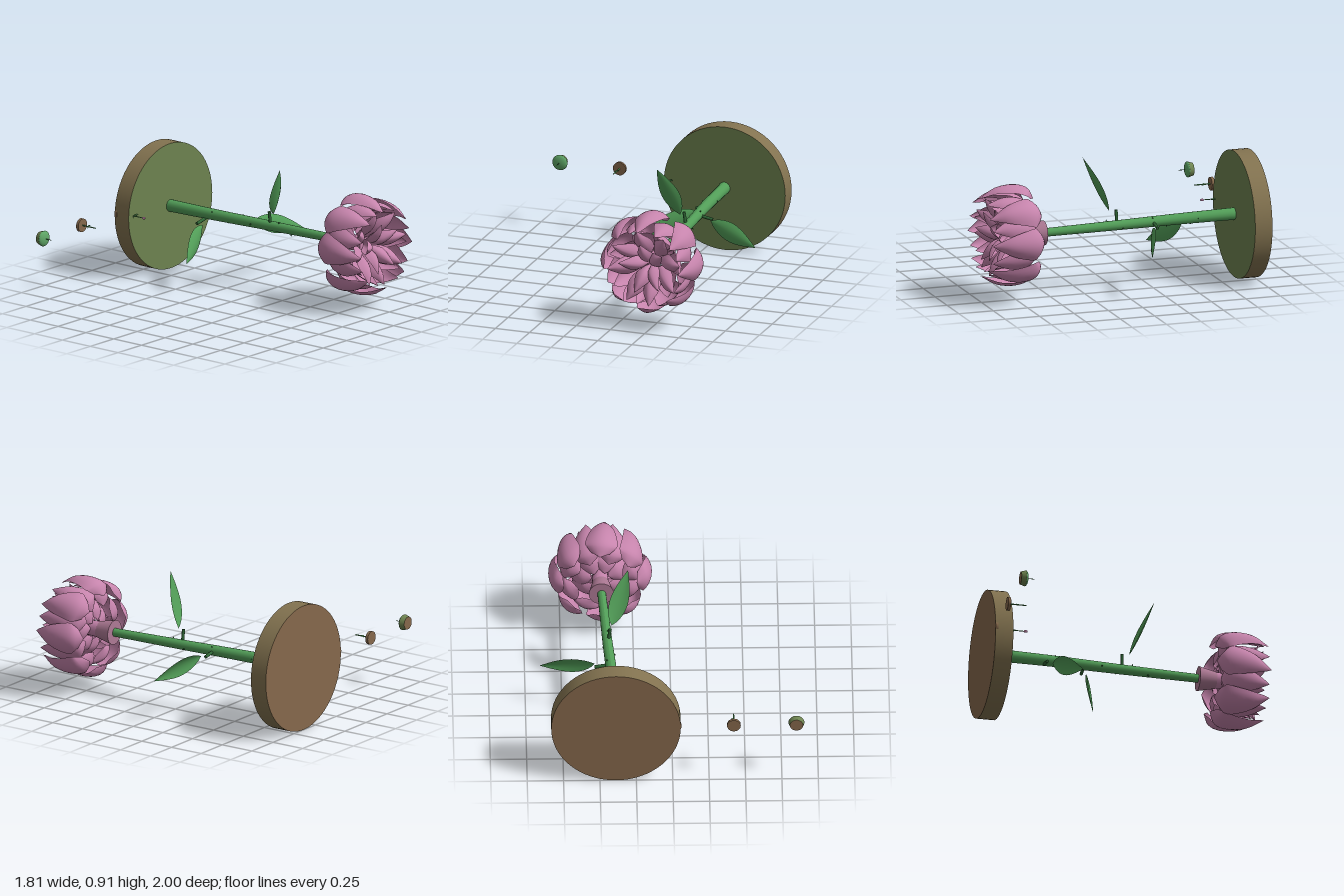
import * as THREE from 'three';

const mat = (color) => new THREE.MeshStandardMaterial({ color, side: THREE.DoubleSide });
const PINK = mat(0xc684ac), CALYX = mat(0xae7a95), GREEN = mat(0x529e58), DARK = mat(0x2f6636);
const BROWN = mat(0x86694c), OLIVE = mat(0x6e8350), RIM = mat(0x837350), MINT = mat(0x62aa69);
const V = (x, y, z) => new THREE.Vector3(x, y, z);

function add(parent, name, geo, material) {
  const m = new THREE.Mesh(geo, material);
  m.name = name;
  parent.add(m);
  return m;
}

// Cylinder or cone between two points
function rod(parent, name, a, b, ra, rb, material, sides = 12) {
  const m = add(parent, name, new THREE.CylinderGeometry(rb, ra, a.distanceTo(b), sides), material);
  m.position.copy(a).add(b).multiplyScalar(0.5);
  m.quaternion.setFromUnitVectors(V(0, 1, 0), b.clone().sub(a).normalize());
  return m;
}

// Cupped petal: spine of [radius, z] points, broad round base and pointed tip
function petalGeometry(spine, halfWidth, cup) {
  const curve = new THREE.CatmullRomCurve3(spine.map(([r, z]) => V(r, 0, z)));
  const geo = new THREE.PlaneGeometry(2, 1, 8, 16);
  const p = geo.attributes.position;
  for (let i = 0; i < p.count; i++) {
    const u = p.getX(i), v = p.getY(i) + 0.5;
    const w = 2.49 * Math.sqrt(Math.max(v, 0)) * Math.pow(Math.max(1 - v, 0), 0.9);
    const c = curve.getPoint(v), t = curve.getTangent(v);
    const d = cup * u * u * w;
    p.setXYZ(i, c.x - t.z * d, u * w * halfWidth, c.z + t.x * d);
  }
  geo.computeVertexNormals();
  return geo;
}

// Leaf blade from base to tip, cambered across its midrib
function leaf(parent, base, tip, halfWidth, facing) {
  const dir = tip.clone().sub(base);
  const side = new THREE.Vector3().crossVectors(dir, facing).normalize();
  const up = new THREE.Vector3().crossVectors(side, dir).normalize();
  const geo = new THREE.PlaneGeometry(2, 1, 6, 14);
  const p = geo.attributes.position;
  for (let i = 0; i < p.count; i++) {
    const u = p.getX(i), v = p.getY(i) + 0.5;
    const w = halfWidth * Math.sin(Math.PI * Math.pow(v, 0.8));
    const q = base.clone().addScaledVector(dir, v)
      .addScaledVector(side, u * w)
      .addScaledVector(up, w * (0.15 - 0.3 * u * u));
    p.setXYZ(i, q.x, q.y, q.z);
  }
  geo.computeVertexNormals();
  add(parent, 'leaf', geo, GREEN);
}

export function createModel() {
  const model = new THREE.Group();
  model.name = 'flower';

  // Round soil base
  const base = add(model, 'soilBase', new THREE.CylinderGeometry(0.445, 0.445, 0.125, 64), [RIM, OLIVE, BROWN]);
  base.rotation.x = Math.PI / 2;
  base.position.set(0.39, 0.447, -0.9375);

  // Tapered, gently bent stem
  const stemCurve = new THREE.CatmullRomCurve3([
    V(0.387, 0.45, -0.9), V(0.405, 0.45, -0.45), V(0.435, 0.45, 0), V(0.468, 0.45, 0.58)]);
  const stemGeo = new THREE.TubeGeometry(stemCurve, 24, 1, 16);
  const sp = stemGeo.attributes.position;
  for (let i = 0; i < sp.count; i++) {
    const t = Math.floor(i / 17) / 24, c = stemCurve.getPointAt(t);
    const q = V(0, 0, 0).fromBufferAttribute(sp, i).sub(c).multiplyScalar(0.043 - 0.014 * t).add(c);
    sp.setXYZ(i, q.x, q.y, q.z);
  }
  stemGeo.computeVertexNormals();
  add(model, 'stem', stemGeo, GREEN);

  // Small thorns around the stem
  for (let i = 0; i < 8; i++) {
    const c = stemCurve.getPointAt(0.2 + i * 0.075), a = i * 2.4;
    const d = V(Math.cos(a), Math.sin(a), 0.15);
    rod(model, 'thorn', c.clone().addScaledVector(d, 0.03), c.clone().addScaledVector(d, 0.046), 0.008, 0.001, DARK, 6);
  }

  // Leaf stalks and leaves
  rod(model, 'leafStalk', V(0.39, 0.415, -0.56), V(0.298, 0.395, -0.56), 0.011, 0.011, DARK);
  rod(model, 'leafStalk', V(0.42, 0.45, -0.272), V(0.527, 0.43, -0.272), 0.011, 0.011, DARK);
  rod(model, 'leafStalk', V(0.428, 0.46, -0.008), V(0.415, 0.555, -0.008), 0.011, 0.011, DARK);
  leaf(model, V(0.31, 0.39, -0.52), V(-0.03, 0.205, -0.378), 0.065, V(0.3, 0.25, 1));
  leaf(model, V(0.525, 0.43, -0.235), V(0.902, 0.32, -0.105), 0.065, V(-0.3, 0.25, 1));
  leaf(model, V(0.405, 0.55, 0.04), V(0.29, 0.912, 0.192), 0.065, V(0.15, -0.35, 1));

  // Calyx
  rod(model, 'calyx', V(0.468, 0.45, 0.535), V(0.471, 0.45, 0.66), 0.086, 0.058, CALYX, 32);

  // Flower head: uneven rings of petals around the z axis, inner rings set further forward
  const head = new THREE.Group();
  head.name = 'flowerHead';
  head.position.set(0.473, 0.452, 0);
  model.add(head);
  const rings = [
    { n: 8, w: 0.112, cup: 0.05, a: 0, s: [[0.25, 0.615], [0.325, 0.655], [0.355, 0.74], [0.34, 0.88], [0.27, 1.0]] },
    { n: 8, w: 0.105, cup: 0.045, a: 0.39, s: [[0.16, 0.665], [0.245, 0.67], [0.295, 0.75], [0.305, 0.87], [0.27, 0.99]] },
    { n: 7, w: 0.09, cup: 0.04, a: 0.1, s: [[0.06, 0.69], [0.14, 0.7], [0.2, 0.76], [0.24, 0.85], [0.26, 0.96]] },
    { n: 8, w: 0.062, cup: -0.055, a: 0.2, s: [[0.05, 0.77], [0.12, 0.88], [0.19, 0.93], [0.27, 0.95]] },
    { n: 5, w: 0.055, cup: -0.05, a: 0.5, s: [[0.01, 0.8], [0.04, 0.9], [0.1, 0.95], [0.18, 0.975]] },
  ];
  rings.forEach(({ n, w, cup, a, s }, k) => {
    const geo = petalGeometry(s, w, cup);
    for (let i = 0; i < n; i++) {
      const arm = new THREE.Group();
      arm.name = 'petalArm';
      arm.rotation.z = a + (i / n) * Math.PI * 2 + 0.06 * Math.sin(i * 4.1 + k * 2);
      head.add(arm);
      // Each petal twists a little about its own radial line
      const petal = add(arm, 'petal', geo, PINK);
      const twist = 0.12 * Math.sin(i * 2.7 + k);
      petal.rotation.x = twist;
      petal.position.set(0, 0.8 * Math.sin(twist), 0.8 * (1 - Math.cos(twist)));
    }
  });
  rod(head, 'flowerCore', V(0, 0, 0.64), V(0, 0, 0.8), 0.058, 0.05, PINK, 16);

  // Seed mound with a small sprout
  rod(model, 'seedPot', V(-0.85, 0.46, -1), V(-0.85, 0.46, -0.965), 0.045, 0.055, [OLIVE, MINT, BROWN], 24);
  const dome = add(model, 'seedMound', new THREE.SphereGeometry(0.055, 24, 8, 0, Math.PI * 2, 0, Math.PI / 2), MINT);
  dome.rotation.x = Math.PI / 2;
  dome.scale.y = 0.38;
  dome.position.set(-0.85, 0.46, -0.966);
  rod(model, 'sproutTip', V(-0.85, 0.46, -0.95), V(-0.85, 0.46, -0.9), 0.003, 0.002, DARK, 6);

  // Seedling on a thin disc
  rod(model, 'seedlingSoil', V(-0.42, 0.46, -1), V(-0.42, 0.46, -0.98), 0.047, 0.047, BROWN, 24);
  rod(model, 'seedlingStem', V(-0.42, 0.46, -0.98), V(-0.42, 0.46, -0.865), 0.005, 0.004, GREEN, 8);
  for (const s of [-1, 1])
    leaf(model, V(-0.42, 0.46, -0.935), V(-0.42 + s * 0.016, 0.46 + s * 0.01, -0.922), 0.006, V(0, 0, 1));

  // Budding sprout beside the base
  rod(model, 'budSoil', V(-0.008, 0.46, -1), V(-0.008, 0.46, -0.98), 0.052, 0.052, BROWN, 24);
  rod(model, 'budStem', V(-0.008, 0.46, -0.98), V(-0.008, 0.46, -0.775), 0.004, 0.003, GREEN, 8);
  const bud = add(model, 'bud', new THREE.SphereGeometry(0.009, 10, 8), PINK);
  bud.scale.z = 1.6;
  bud.position.set(-0.008, 0.46, -0.779);
  for (const s of [-1, 1])
    leaf(model, V(-0.008, 0.46, -0.87), V(-0.008 + s * 0.028, 0.46 + s * 0.01, -0.85), 0.006, V(0, 0, 1));

  return model;
}
